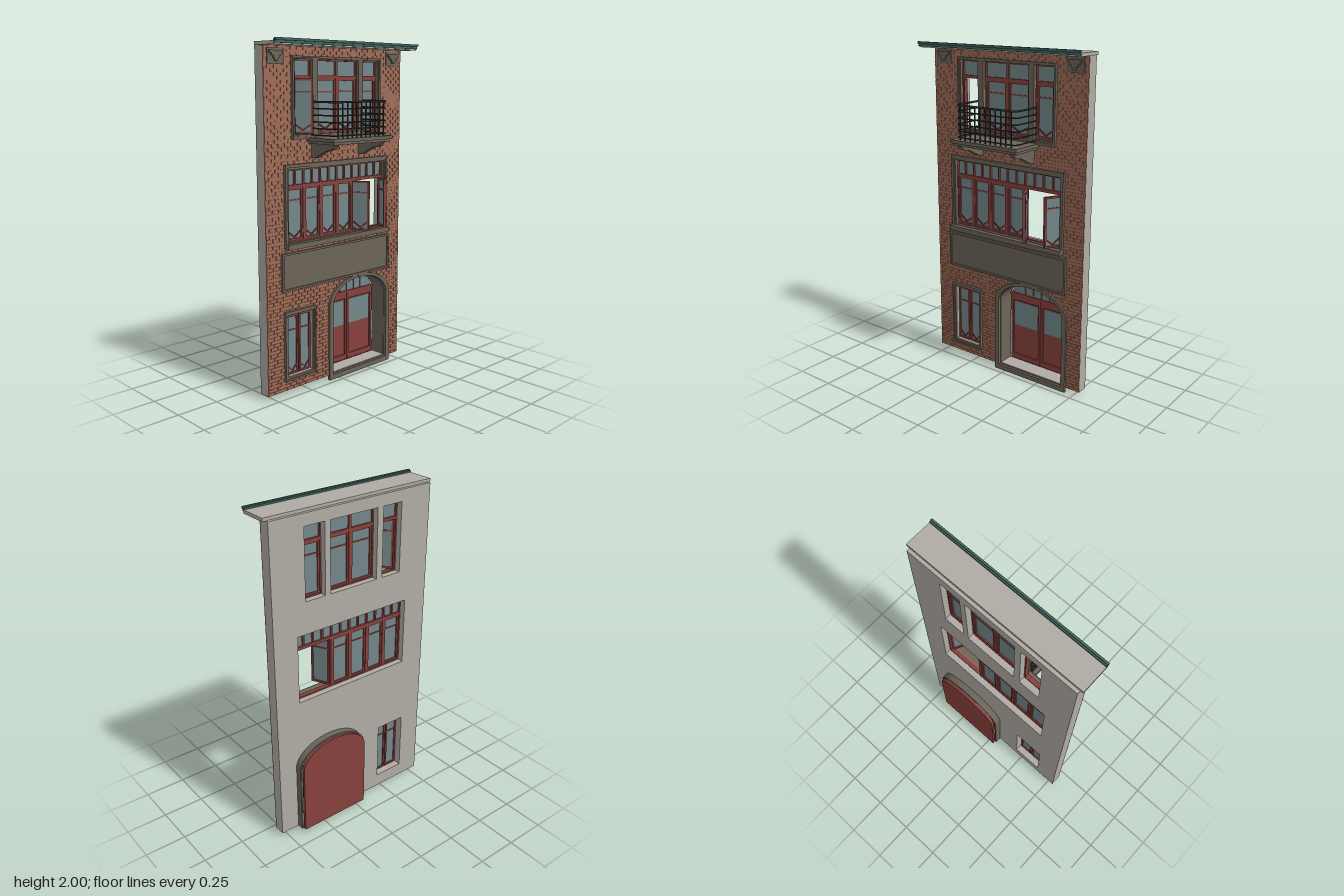
import * as THREE from 'three';
import { mergeGeometries } from 'three/addons/utils/BufferGeometryUtils.js';

const mat = (name, color) => {
  const m = new THREE.MeshStandardMaterial({ color });
  m.name = name;
  return m;
};
const plaster = mat('plaster', 0xb0aca4), brick = mat('brick', 0xa16b56), mortar = mat('mortar', 0x997464);
const stone = mat('stone', 0x6b6458), red = mat('red paint', 0x86403c), glass = mat('glass', 0x738789);
const green = mat('green gutter', 0x40645a), iron = mat('iron', 0x2a3331), darkRed = mat('dark red trim', 0x6a302e);

function add(parent, name, material, geometry) {
  const m = new THREE.Mesh(geometry, material);
  m.name = name;
  parent.add(m);
  return m;
}
function boxGeo(x0, x1, y0, y1, z0, z1) {
  return new THREE.BoxGeometry(x1 - x0, y1 - y0, z1 - z0).translate((x0 + x1) / 2, (y0 + y1) / 2, (z0 + z1) / 2);
}
const box = (parent, name, material, ...b) => add(parent, name, material, boxGeo(...b));

// Outlines: rectangle [x0, x1, y0, y1], arched opening, polygon
function poly(points) {
  return new THREE.Shape(points.map(p => new THREE.Vector2(...p)));
}
const rect = ([x0, x1, y0, y1]) => poly([[x0, y0], [x1, y0], [x1, y1], [x0, y1]]);
function arch(hw, y0, spring, rise, cx = DOOR_X) {
  const s = new THREE.Shape();
  s.moveTo(cx - hw, y0);
  s.lineTo(cx + hw, y0);
  s.lineTo(cx + hw, spring);
  s.absellipse(cx, spring, hw, rise, 0, Math.PI, false, 0);
  s.closePath();
  return s;
}
function slab(parent, name, material, outline, holes, z0, z1) {
  outline.holes = holes;
  const g = new THREE.ExtrudeGeometry(outline, { depth: z1 - z0, bevelEnabled: false, curveSegments: 28 });
  return add(parent, name, material, g.translate(0, 0, z0));
}

const DOOR_X = 0.183, SPRING = 0.46, FRAME_Z = -0.066;
const topOpenings = [[-0.33, -0.2, 1.49, 1.9], [-0.16, 0.16, 1.49, 1.9], [0.195, 0.325, 1.49, 1.9]];
const midOpening = [-0.383, 0.383, 0.89, 1.3];
const lowOpening = [-0.398, -0.206, 0.108, 0.475];
const openings = [...topOpenings, midOpening, lowOpening];
// Areas hidden by stonework, where no bricks are laid
const covered = [[-0.34, 0.332, 1.475, 1.907], [-0.397, 0.394, 0.87, 1.315], [-0.41, -0.198, 0.095, 0.486]];

function bricks() {
  const list = [], course = 0.02, length = 0.046, gap = 0.003;
  for (let row = 0; row < 97; row++) {
    const y0 = 0.029 + row * course, y1 = y0 + course - gap, y = (y0 + y1) / 2;
    const gaps = covered.filter(c => y > c[2] && y < c[3]).map(c => [c[0], c[1]]);
    if (y < 0.61) {
      const k = Math.max(0, (y - SPRING) / 0.152), hw = 0.247 * Math.sqrt(1 - Math.min(1, k * k));
      gaps.push([DOOR_X - hw, DOOR_X + hw]);
    }
    for (let x = -0.538 - (row % 2) * length / 2; x < 0.536; x += length) {
      let a = Math.max(x, -0.537), b = Math.min(x + length - gap, 0.535);
      for (const [g0, g1] of gaps) {
        if (a >= g0 && a < g1) a = g1;
        if (b > g0 && b <= g1) b = g0;
      }
      if (b - a > 0.003) list.push(boxGeo(a, b, y0, y1, -0.048, -0.044));
    }
  }
  return mergeGeometries(list);
}

// Sash with its hinge at x = 0, built toward side (+1 or -1)
function sash(parent, name, x, y0, w, h, { bar = 0, side = 1, angle = 0, t = 0.011, chevron = true } = {}) {
  const g = new THREE.Group(), a = side > 0 ? 0 : -w, b = a + w;
  g.name = name;
  slab(g, 'sashFrame', red, rect([a, b, 0, h]), [rect([a + t, b - t, t, h - t])], -0.009, 0.009);
  box(g, 'pane', glass, a + t, b - t, t, h - t, -0.002, 0.002);
  if (bar) box(g, 'glazingBar', red, a + t, b - t, bar - 0.004, bar + 0.004, -0.006, 0.006);
  if (chevron) {
    const c = (a + b) / 2, l = a + t, r = b - t, d = 0.011;
    slab(g, 'chevron', darkRed, poly([[l, 0.045], [c, t], [r, 0.045], [r, 0.045 + d], [c, t + d], [l, 0.045 + d]]), [], 0.002, 0.007);
  }
  g.position.set(x, y0, FRAME_Z);
  g.rotation.y = -side * angle;
  parent.add(g);
}

function topWindow(parent) {
  const g = new THREE.Group();
  g.name = 'topWindow';
  parent.add(g);
  const outer = [-0.35, 0.342, 1.465, 1.916];
  slab(g, 'stoneSurround', stone, rect(outer), topOpenings.map(rect), -0.05, -0.034);
  slab(g, 'surroundLip', stone, rect(outer), [rect([-0.338, 0.33, 1.48, 1.906])], -0.034, -0.028);
  topOpenings.forEach(([x0, x1, y0, y1], i) => {
    const n = i === 1 ? 2 : 1, w = (x1 - x0) / n, e = 0.008, holes = [];
    for (let k = 0; k < n; k++) {
      const a = x0 + k * w + e, b = a + w - 2 * e;
      holes.push(rect([a, b, y0 + e, 1.795]), rect([a, b, 1.812, y1 - e]));
      box(g, 'upperPane', glass, a, b, 1.812, y1 - e, FRAME_Z - 0.002, FRAME_Z + 0.002);
      sash(g, 'sash', a, y0 + e, w - 2 * e, 1.795 - y0 - e, { bar: 0.225, angle: i === 0 ? 0.82 : 0 });
    }
    slab(g, 'windowFrame', red, rect([x0, x1, y0, y1]), holes, -0.08, -0.053);
  });
}

function middleWindow(parent) {
  const g = new THREE.Group();
  g.name = 'middleWindow';
  parent.add(g);
  const [x0, x1, y0, y1] = midOpening, w = (x1 - x0) / 6, e = 0.008, holes = [];
  slab(g, 'stoneSurround', stone, rect([-0.41, 0.405, 0.86, 1.33]), [rect(midOpening)], -0.05, -0.034);
  slab(g, 'surroundLip', stone, rect([-0.41, 0.405, 0.86, 1.33]), [rect([-0.394, 0.392, 0.875, 1.312])], -0.034, -0.028);
  box(g, 'sill', stone, -0.41, 0.405, 0.857, 0.887, -0.05, -0.004);
  for (let k = 0; k < 6; k++) {
    const a = x0 + k * w, open = k > 3;
    if (!open) holes.push(rect([a + e, a + w - e, y0 + e, 1.195]));
    const right = k === 5;
    sash(g, 'sash', right ? a + w - e : a + e, y0 + e, w - 2 * e, 1.195 - y0 - e,
      { bar: 0.228, side: right ? -1 : 1, angle: open ? 1.1 : 0 });
    for (const p of [a, a + w / 2]) holes.push(rect([p + 0.005, p + w / 2 - 0.005, 1.213, y1 - e]));
  }
  holes.push(rect([x0 + 4 * w + e, x1 - e, y0 + e, 1.195]));
  slab(g, 'windowFrame', red, rect(midOpening), holes, -0.08, -0.053);
  box(g, 'upperPanes', glass, x0 + e, x1 - e, 1.205, y1 - e, FRAME_Z - 0.002, FRAME_Z + 0.002);
}

function lowerWindow(parent) {
  const g = new THREE.Group();
  g.name = 'lowerWindow';
  parent.add(g);
  slab(g, 'stoneSurround', stone, rect([-0.42, -0.19, 0.085, 0.497]), [rect(lowOpening)], -0.05, -0.034);
  slab(g, 'surroundLip', stone, rect([-0.42, -0.19, 0.085, 0.497]), [rect([-0.409, -0.198, 0.096, 0.486])], -0.034, -0.028);
  for (const x of [-0.392, -0.298]) sash(g, 'sash', x, 0.112, 0.086, 0.354, { bar: 0.264 });
}

function entrance(parent) {
  const g = new THREE.Group();
  g.name = 'entrance';
  parent.add(g);
  slab(g, 'doorSurround', stone, arch(0.26, 0, SPRING, 0.16), [arch(0.231, 0.03, SPRING, 0.142)], -0.05, -0.032);
  box(g, 'keystone', stone, 0.16, 0.206, 0.6, 0.628, -0.05, -0.03);
  slab(g, 'doorReveal', stone, arch(0.237, 0.027, SPRING, 0.147), [arch(0.228, 0.036, SPRING, 0.138)], -0.157, -0.05);
  box(g, 'threshold', plaster, -0.044, 0.41, 0.036, 0.039, -0.15, -0.05);
  slab(g, 'doorBack', red, arch(0.226, 0.03, SPRING, 0.14), [], -0.178, -0.162);
  // Fanlight
  slab(g, 'fanlight', glass, arch(0.214, 0.487, 0.488, 0.104), [], -0.162, -0.158);
  for (const x of [-0.12, -0.06, 0, 0.06, 0.12]) {
    const h = 0.104 * Math.sqrt(1 - (x / 0.214) ** 2);
    box(g, 'fanlightBar', red, DOOR_X + x - 0.003, DOOR_X + x + 0.003, 0.487, 0.488 + h, -0.162, -0.154);
  }
  box(g, 'transom', red, -0.042, 0.408, 0.472, 0.488, -0.162, -0.148);
  // Two leaves with raised rails and a glazed upper panel
  for (const s of [-1, 1]) {
    const c = DOOR_X + s * 0.112;
    slab(g, 'leafFrame', red, rect([c - 0.11, c + 0.11, 0.04, 0.472]), [rect([c - 0.095, c + 0.095, 0.072, 0.438])], -0.162, -0.153);
    box(g, 'leafGlass', glass, c - 0.087, c + 0.087, 0.27, 0.43, -0.162, -0.158);
  }
}

function balcony(parent) {
  const g = new THREE.Group();
  g.name = 'balcony';
  parent.add(g);
  box(g, 'balconySlab', stone, -0.234, 0.231, 1.452, 1.472, -0.05, 0.172);
  box(g, 'balconySlabBase', stone, -0.226, 0.223, 1.438, 1.452, -0.05, 0.162);
  const profile = [[0.05, 1.44], [-0.15, 1.44], [-0.13, 1.412], [-0.07, 1.398], [-0.01, 1.368], [0.01, 1.357], [0.05, 1.355]];
  for (const x of [-0.205, 0.166]) {
    const c = slab(g, 'corbel', stone, poly(profile), [], 0, 0.031);
    c.rotation.y = Math.PI / 2;
    c.position.x = x;
  }
  // Horizontal rails with rounded corners
  const X = 0.209, Z = 0.148, r = 0.03, path = new THREE.CurvePath(), v = (x, z) => new THREE.Vector3(x, 0, z);
  path.add(new THREE.LineCurve3(v(-X, -0.045), v(-X, Z - r)));
  path.add(new THREE.QuadraticBezierCurve3(v(-X, Z - r), v(-X, Z), v(r - X, Z)));
  path.add(new THREE.LineCurve3(v(r - X, Z), v(X - r, Z)));
  path.add(new THREE.QuadraticBezierCurve3(v(X - r, Z), v(X, Z), v(X, Z - r)));
  path.add(new THREE.LineCurve3(v(X, Z - r), v(X, -0.045)));
  for (let i = 0; i < 6; i++) {
    const rail = add(g, 'rail', iron, new THREE.TubeGeometry(path, 90, i === 5 ? 0.006 : 0.004, 6));
    rail.position.y = 1.486 + i * 0.0365;
  }
  for (let i = 0; i < 11; i++) {
    const x = -0.18 + i * 0.036;
    box(g, 'baluster', iron, x - 0.003, x + 0.003, 1.472, 1.67, Z - 0.003, Z + 0.003);
  }
}

export function createModel() {
  const model = new THREE.Group();
  model.name = 'townhouseFacade';

  // Wall with brick facing
  const holes = () => [...openings.map(rect), arch(0.236, 0.033, SPRING, 0.146)];
  slab(model, 'wall', plaster, rect([-0.538, 0.536, 0.027, 1.968]), holes(), -0.116, -0.052);
  slab(model, 'mortarFace', mortar, rect([-0.538, 0.536, 0.027, 1.968]), holes(), -0.052, -0.047);
  add(model, 'bricks', brick, bricks());

  // Eaves and gutter
  box(model, 'eaves', plaster, -0.555, 0.555, 1.966, 1.985, -0.097, 0.066);
  box(model, 'gutter', green, -0.555, 0.555, 1.973, 1.994, 0.062, 0.074);
  box(model, 'gutterLip', green, -0.555, 0.555, 1.986, 2, 0.07, 0.082);

  // Stepped stone blocks under the eaves
  for (const x of [-0.46, 0.455]) {
    box(model, 'eavesBlock', stone, x - 0.055, x + 0.055, 1.872, 1.955, -0.05, -0.038);
    [0.046, 0.034, 0.02, 0.009].forEach((w, i) =>
      box(model, 'eavesBlockStep', stone, x - w, x + w, 1.928 - i * 0.014, 1.942 - i * 0.014, -0.04, -0.028));
  }

  // Blank stone panel with raised border
  box(model, 'stonePanel', stone, -0.436, 0.43, 0.617, 0.836, -0.05, -0.037);
  slab(model, 'panelBorder', stone, rect([-0.436, 0.43, 0.617, 0.836]), [rect([-0.424, 0.418, 0.629, 0.824])], -0.037, -0.029);

  topWindow(model);
  middleWindow(model);
  lowerWindow(model);
  entrance(model);
  balcony(model);
  return model;
}
